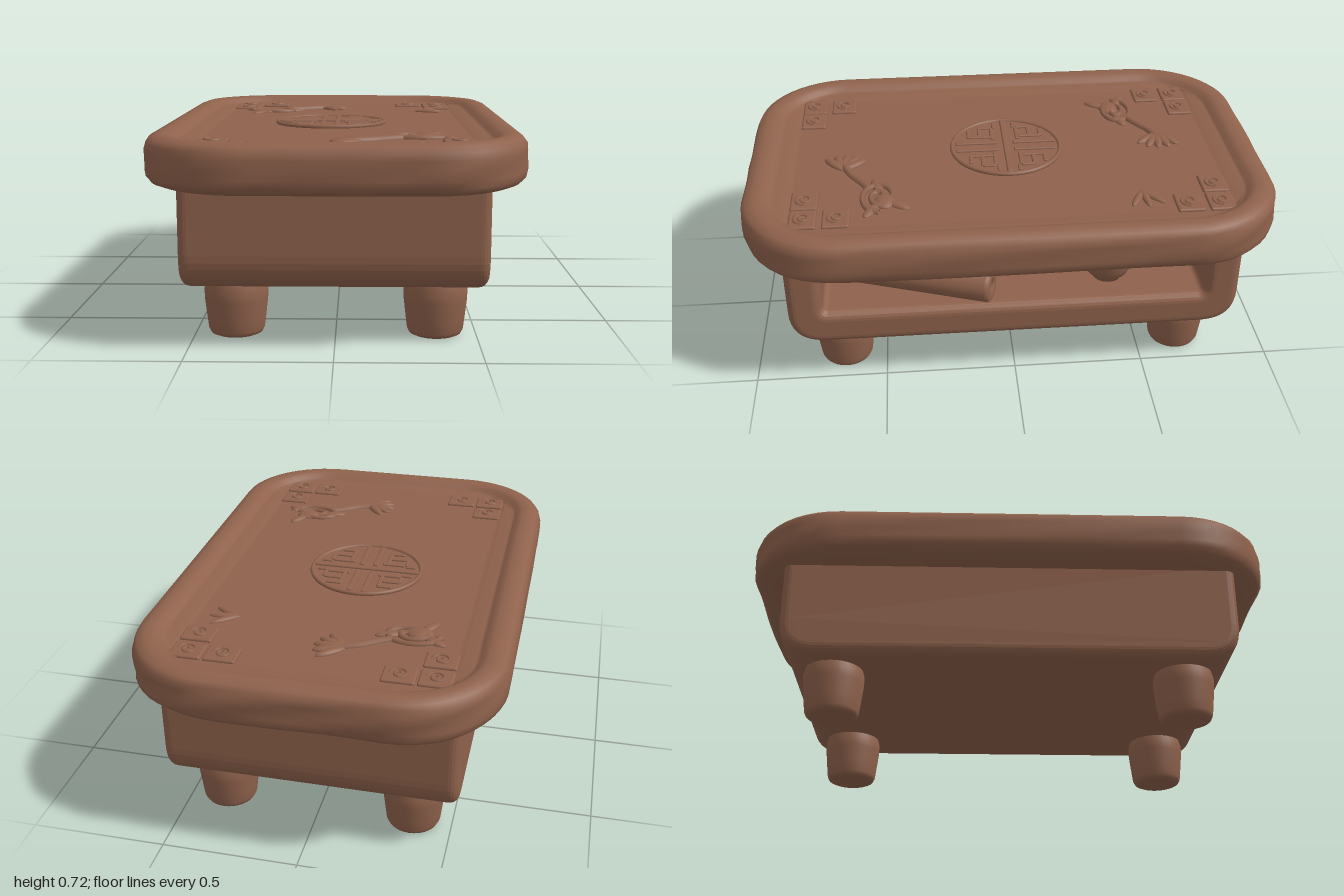
import * as THREE from 'three';
import { RoundedBoxGeometry } from 'three/addons/geometries/RoundedBoxGeometry.js';

const wood = new THREE.MeshStandardMaterial({ color: 0x8f624c, side: THREE.DoubleSide });
wood.name = 'brown wood';
const PANEL = 0.683; // height of the sunken panel

function add(parent, name, geo, x = 0, y = 0, z = 0) {
  const m = new THREE.Mesh(geo, wood);
  m.name = name;
  m.position.set(x, y, z);
  parent.add(m);
  return m;
}

const lathe = (pts, seg = 32) => new THREE.LatheGeometry(pts.map(p => new THREE.Vector2(...p)), seg);

// Points around a rounded rectangle, the same count for any size
function rectLoop(w, d, r, arc = 12, side = 12) {
  const pts = [];
  const corners = [[1, 1], [-1, 1], [-1, -1], [1, -1]];
  corners.forEach(([sx, sz], q) => {
    for (let i = 0; i <= arc; i++) {
      const a = (q + i / arc) * Math.PI / 2;
      pts.push([sx * (w - r) + r * Math.cos(a), sz * (d - r) + r * Math.sin(a)]);
    }
    const [nx, nz] = corners[(q + 1) % 4], a = (q + 1) * Math.PI / 2;
    const from = pts[pts.length - 1];
    const to = [nx * (w - r) + r * Math.cos(a), nz * (d - r) + r * Math.sin(a)];
    for (let i = 1; i < side; i++) {
      const t = i / side;
      pts.push([from[0] + (to[0] - from[0]) * t, from[1] + (to[1] - from[1]) * t]);
    }
  });
  return pts;
}

// Slab with a rounded rim and sunken panel: rings of [inset, height, corner radius]
function slabGeometry() {
  const rings = [[1, .545, 0], [.08, .545, .3], [.05, .545, .32], [.018, .557, .35], [.004, .575, .365],
    [0, .6, .37], [0, .633, .37], [0, .665, .37], [.005, .69, .365], [.02, .709, .35], [.05, .72, .32],
    [.08, .718, .29], [.1, .709, .265], [.112, .696, .25], [.122, .692, .24], [.165, .69, .1],
    [.174, PANEL, .06], [.19, PANEL, .05], [1, PANEL, 0]];
  const pos = [], idx = [];
  let n = 0;
  rings.forEach(([o, y, r], i) => {
    const loop = o === 1 ? rectLoop(0, 0, 0) : rectLoop(.672 - o, 1 - o, r);
    n = loop.length;
    loop.forEach(([x, z], j) => {
      // gentle hand-carved waviness on the outer edge
      const t = j / n * Math.PI * 2;
      const k = o < .02 ? 1 - .004 * (1 + Math.sin(9 * t + y * 70)) * Math.abs(Math.sin(4 * t + y * 30)) : 1;
      pos.push(x * k, y, z * k);
      if (i < rings.length - 1) {
        const a = i * n + j, b = i * n + (j + 1) % n;
        idx.push(a, a + n, b, b, a + n, b + n);
      }
    });
  });
  const g = new THREE.BufferGeometry();
  g.setAttribute('position', new THREE.Float32BufferAttribute(pos, 3));
  g.setIndex(idx);
  g.computeVertexNormals();
  return g;
}

// Body outline in side view, optionally cut open above the shelf floor
function bodyGeometry(open, x0, x1) {
  const s = new THREE.Shape(), b = .035, h = .6;
  s.moveTo(-.85, h);
  s.lineTo(-.85, .32);
  s.bezierCurveTo(-.85, .23, -.8, .188, -.71, .188);
  s.lineTo(.71, .188);
  s.bezierCurveTo(.8, .188, .85, .23, .85, .32);
  s.lineTo(.85, h);
  if (open) {
    s.lineTo(.72, h);
    s.lineTo(.72, .35);
    s.quadraticCurveTo(.72, .325, .695, .325);
    s.lineTo(-.695, .325);
    s.quadraticCurveTo(-.72, .325, -.72, .35);
    s.lineTo(-.72, h);
  }
  s.closePath();
  const g = new THREE.ExtrudeGeometry(s, { depth: x1 - x0 - 2 * b, bevelThickness: b, bevelSize: b,
    bevelOffset: -b, bevelSegments: 5, curveSegments: 10 });
  return g.translate(0, 0, x0 + b).rotateY(Math.PI / 2);
}

const tube = (pts, r) => new THREE.TubeGeometry(
  new THREE.CatmullRomCurve3(pts.map(([x, z]) => new THREE.Vector3(x, 0, z))), 28, r, 6);

function spiral(r, turns, thick) {
  const pts = [];
  for (let i = 0; i <= 16; i++) {
    const t = i / 16, a = t * turns * Math.PI * 2;
    pts.push([r * (1 - .8 * t) * Math.cos(a), r * (1 - .8 * t) * Math.sin(a)]);
  }
  return tube(pts, thick);
}

function medallion() {
  const g = new THREE.Group();
  g.name = 'medallion';
  g.position.set(-.035, PANEL, -.01);
  add(g, 'medallionDisc', new THREE.CylinderGeometry(.215, .22, .008, 48), 0, .002, 0);
  add(g, 'medallionRing', new THREE.TorusGeometry(.215, .009, 8, 56).rotateX(Math.PI / 2), 0, .005, 0);
  add(g, 'crossBar', new RoundedBoxGeometry(.42, .016, .022, 2, .006), 0, .006, 0);
  // fretwork in one quadrant: [x, z, width, depth], mirrored to four
  const fret = [[.028, .115, .02, .17], [.1, .05, .09, .016], [.075, .1, .016, .09], [.115, .1, .07, .016],
    [.15, .075, .016, .05], [.1, .145, .06, .016], [.17, .04, .04, .014]];
  for (const sx of [-1, 1]) for (const sz of [-1, 1])
    for (const [x, z, w, d] of fret)
      add(g, 'fret', new RoundedBoxGeometry(w, .014, d, 2, .005), sx * x, .006, sz * z);
  return g;
}

// Carved curling flower with stem and fan-shaped leaf
function flower() {
  const g = new THREE.Group();
  g.name = 'carvedFlower';
  const curl = add(g, 'curl', spiral(.085, 1.8, .012), .3, PANEL + .002, .49);
  curl.scale.set(1.25, 1, .85);
  add(g, 'bud', new THREE.SphereGeometry(.05, 20, 12).scale(1, .35, .8), .33, PANEL, .47);
  add(g, 'stem', tube([[.24, .53], [.19, .56], [.13, .6], [.06, .63]], .016), 0, PANEL, 0);
  for (let i = 0; i < 5; i++) {
    const a = -.9 + i * .4;
    const p = add(g, 'petal', new THREE.SphereGeometry(.06, 16, 10).scale(1, .25, .32),
      .09 - .055 * Math.cos(a), PANEL, .63 + .055 * Math.sin(a));
    p.rotation.y = a;
  }
  for (const [x, z, a] of [[.36, .42, 1], [.39, .52, -.5], [.22, .5, .3]]) {
    add(g, 'leaf', new THREE.SphereGeometry(.05, 16, 10).scale(1, .25, .4), x, PANEL, z).rotation.y = a;
  }
  return g;
}

export function createModel() {
  const model = new THREE.Group();
  model.name = 'lowTable';
  add(model, 'tabletop', slabGeometry());

  // Cabinet open on one long side
  add(model, 'body', bodyGeometry(true, -.5, .53));
  add(model, 'backWall', bodyGeometry(false, -.535, -.4));

  // Feet
  const foot = lathe([[0, 0], [.08, 0], [.093, .006], [.1, .02], [.105, .06], [.113, .13], [.114, .165], [.105, .2]]);
  for (const sx of [-1, 1]) for (const sz of [-1, 1]) add(model, 'foot', foot, sx * .355, 0, sz * .657);

  // Panel carvings
  model.add(medallion());
  const first = flower(), second = flower();
  second.rotation.y = Math.PI;
  model.add(first, second);
  for (const a of [-.5, .1, .7]) {
    add(model, 'leafSprig', new THREE.SphereGeometry(.06, 16, 10).scale(1, .2, .25),
      .36 + .03 * Math.cos(a), PANEL, -.49 - .05 * Math.sin(a)).rotation.y = a;
  }
  for (const sx of [-1, 1]) for (const sz of [-1, 1])
    for (const [x, z] of [[.435, .765], [.31, .765], [.435, .645]]) {
      add(model, 'cornerTile', new RoundedBoxGeometry(.118, .02, .1, 3, .008), sx * x, PANEL, sz * z);
      add(model, 'cornerCurl', spiral(.034, 1.5, .006), sx * x, PANEL + .01, sz * z);
    }

  // Rolled scroll lying on the shelf, one end poking out
  const from = new THREE.Vector3(.32, .392, .58), to = new THREE.Vector3(.49, .392, .085);
  const L = from.distanceTo(to), R = .065;
  const scroll = add(model, 'scroll', lathe([[.03, 0], [.056, 0], [R, .01], [R, .02], [R, L - .02], [R, L - .01],
    [.056, L], [.03, L], [.026, L - .01], [.026, .01], [.03, 0]]), ...from);
  scroll.quaternion.setFromUnitVectors(new THREE.Vector3(0, 1, 0), to.clone().sub(from).normalize());

  // Small folded slip behind the scroll
  const slip = add(model, 'foldedSlip', new RoundedBoxGeometry(.2, .035, .16, 2, .008), .22, .347, -.01);
  slip.rotation.set(.08, .2, 0);

  // Cup with handle
  const cup = new THREE.Group();
  cup.name = 'cup';
  cup.position.set(.36, .323, -.37);
  add(cup, 'cupBowl', lathe([[0, 0], [.055, 0], [.058, .012], [.08, .032], [.095, .065], [.102, .105], [.104, .118],
    [.1, .121], [.095, .115], [.085, .065], [.06, .025], [0, .018]]));
  add(cup, 'cupHandle', new THREE.TorusGeometry(.034, .011, 10, 24).rotateY(Math.PI / 2), 0, .068, -.105);
  model.add(cup);
  return model;
}
